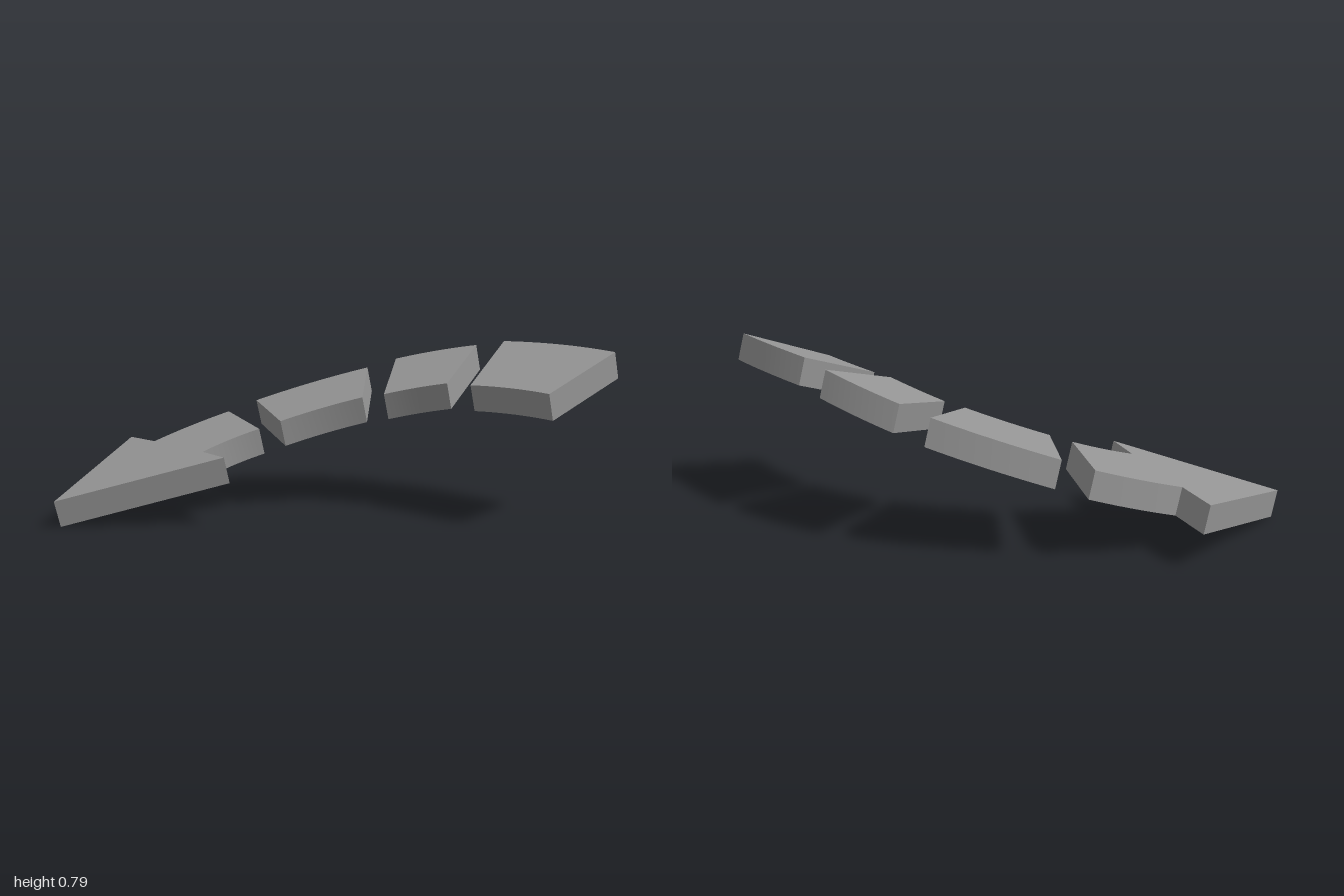
import * as THREE from 'three';
import { toCreasedNormals } from 'three/addons/utils/BufferGeometryUtils.js';

const THICKNESS = 0.122; // vertical height of each plate
const LEAN = 0.033; // backward shift of the underside

// Tilted plate. Outline points are [x, z, bulge of the edge arriving there].
// The top face lies on y = a + b*x + c*z.
function plate(name, outline, [a, b, c], material) {
  const shape = new THREE.Shape();
  shape.moveTo(outline[0][0], -outline[0][1]);
  for (let i = 1; i < outline.length; i++) {
    const [px, pz] = outline[i - 1];
    const [x, z, bulge = 0] = outline[i];
    if (bulge) {
      const dx = x - px, dz = z - pz, k = (2 * bulge) / Math.hypot(dx, dz);
      shape.quadraticCurveTo((px + x) / 2 + dz * k, -((pz + z) / 2 - dx * k), x, -z);
    } else shape.lineTo(x, -z);
  }
  shape.closePath();

  const geometry = new THREE.ExtrudeGeometry(shape, { depth: 1, bevelEnabled: false, curveSegments: 10 });
  geometry.rotateX(-Math.PI / 2);
  const pos = geometry.attributes.position;
  for (let i = 0; i < pos.count; i++) {
    const x = pos.getX(i), z = pos.getZ(i), down = 1 - pos.getY(i);
    pos.setXYZ(i, x, a + b * x + c * z - down * THICKNESS, z - down * LEAN);
  }
  const mesh = new THREE.Mesh(toCreasedNormals(geometry, 0.4), material);
  mesh.name = name;
  return mesh;
}

export function createModel() {
  const group = new THREE.Group();
  group.name = 'curvedArrow';
  const material = new THREE.MeshStandardMaterial({ color: 0x969696 });

  // Arrow head with its short curved shaft
  group.add(plate('arrowHead', [
    [-0.672, 0.956], [-0.998, 0.267], [-0.78, 0.295], [-0.67, -0.085, 0.016],
    [-0.257, 0.09], [-0.34, 0.364, -0.016], [-0.15, 0.402],
  ], [0.444, 0.091, -0.272], material));

  // Tail segments: outer start, outer end, inner end, inner start
  group.add(plate('lowerSegment', [
    [-0.602, -0.208], [-0.237, -0.62, 0.024], [0.053, -0.278], [-0.203, 0.005, -0.016],
  ], [0.449, 0.095, -0.304], material));

  group.add(plate('middleSegment', [
    [-0.125, -0.705], [0.257, -0.856, 0.016], [0.417, -0.453], [0.139, -0.332, -0.01],
  ], [0.428, 0.095, -0.348], material));

  group.add(plate('upperSegment', [
    [0.4, -0.886], [0.998, -0.92, 0.02], [0.945, -0.508], [0.535, -0.476, -0.012],
  ], [0.464, -0.02, -0.365], material));

  return group;
}
